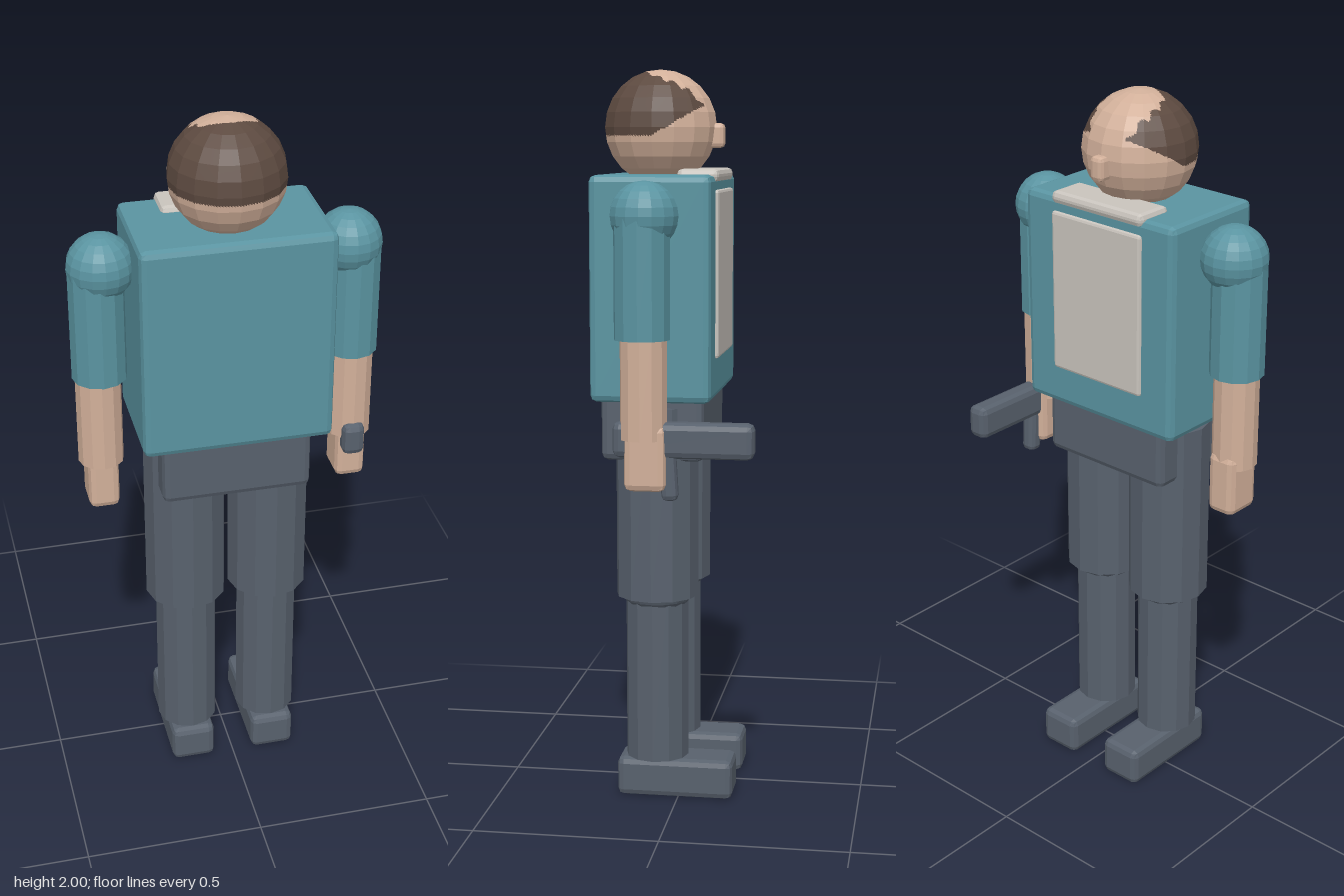
import * as THREE from 'three';
import { RoundedBoxGeometry } from 'three/addons/geometries/RoundedBoxGeometry.js';

const material = (name, color) => {
  const m = new THREE.MeshStandardMaterial({ color });
  m.name = name;
  m.flatShading = true;
  return m;
};

export function createModel() {
  const teal = material('teal shirt', 0x5a94a1);
  const slate = material('slate grey', 0x58616d);
  const skin = material('skin', 0xd2b09a);
  const brown = material('brown hair', 0x5d4a40);
  const pale = material('pale grey', 0xc9c4bd);

  const model = new THREE.Group();
  model.name = 'figure';

  const add = (parent, name, geometry, mat, x = 0, y = 0, z = 0) => {
    const mesh = new THREE.Mesh(geometry, mat);
    mesh.name = name;
    mesh.position.set(x, y, z);
    parent.add(mesh);
    return mesh;
  };

  // Bevelled box given by its extents
  const box = (parent, name, mat, [x0, x1], [y0, y1], [z0, z1], bevel = 0.018) =>
    add(parent, name, new RoundedBoxGeometry(x1 - x0, y1 - y0, z1 - z0, 1, bevel), mat,
      (x0 + x1) / 2, (y0 + y1) / 2, (z0 + z1) / 2);

  const limb = (parent, name, mat, r, x, y0, y1, z) =>
    add(parent, name, new THREE.CylinderGeometry(r, r, y1 - y0, 12), mat, x, (y0 + y1) / 2, z);

  const ball = (parent, name, mat, r, x, y, z) =>
    add(parent, name, new THREE.SphereGeometry(r, 16, 12), mat, x, y, z);

  // Torso, hips and front panel
  box(model, 'torso', teal, [-0.258, 0.258], [1.12, 1.72], [-0.1, 0.225]);
  box(model, 'hips', slate, [-0.205, 0.205], [0.955, 1.16], [-0.075, 0.205]);
  box(model, 'frontPanel', pale, [-0.155, 0.155], [1.23, 1.68], [-0.109, -0.09], 0.008);
  box(model, 'collar', pale, [-0.157, 0.157], [1.7, 1.735], [-0.108, 0.005], 0.014);
  limb(model, 'neck', skin, 0.08, 0, 1.66, 1.78, 0.07);

  // Arms and legs, mirrored
  for (const side of [1, -1]) {
    const label = side > 0 ? 'left' : 'right';
    const arm = new THREE.Group();
    arm.name = label + 'Arm';
    ball(arm, 'shoulder', teal, 0.09, side * 0.33, 1.618, 0.062);
    limb(arm, 'sleeve', teal, 0.074, side * 0.344, 1.3, 1.62, 0.066);
    limb(arm, 'forearm', skin, 0.062, side * 0.348, 1.04, 1.31, 0.062);
    const hand = box(arm, 'hand', skin, [-0.042, 0.042], [0.905, 1.08], [0, 0.11]);
    hand.position.x = side * 0.348;
    model.add(arm);

    const leg = new THREE.Group();
    leg.name = label + 'Leg';
    limb(leg, 'thigh', slate, 0.114, side * 0.119, 0.57, 1.1, 0.064);
    ball(leg, 'knee', slate, 0.105, side * 0.119, 0.61, 0.064);
    limb(leg, 'shin', slate, 0.087, side * 0.119, 0.11, 0.6, 0.065);
    const foot = box(leg, 'foot', slate, [-0.063, 0.063], [0, 0.11], [-0.152, 0.17]);
    foot.position.x = side * 0.12;
    model.add(leg);
  }

  // Hand-held device
  const device = new THREE.Group();
  device.name = 'handDevice';
  box(device, 'barrel', slate, [0.316, 0.378], [0.992, 1.086], [-0.23, 0.142]);
  box(device, 'grip', slate, [0.325, 0.369], [0.878, 1.03], [-0.026, 0.018], 0.015).rotation.x = 0.06;
  model.add(device);

  // Head: each facet is split finely, then sorted into hair and bare skin
  const head = new THREE.Group();
  head.name = 'head';
  head.position.set(0, 1.845, 0.072);
  const isHair = (p) => {
    const z = p.z + 0.072;
    const hairline = z > 0.07 ? -0.022 : -0.022 + (0.07 - z) * 0.62;
    if (p.y < hairline || z < -0.06) return false;
    const wave = 0.006 * Math.sin(p.z * 160);
    const scalp = z > 0.04
      ? 0.085 * Math.sqrt(Math.max(0, 1 - ((z - 0.04) / 0.07) ** 2))
      : 0.085 - Math.max(0, -z) * 0.35;
    return !(p.y > 0 && Math.abs(p.x) < scalp + wave && z < 0.11);
  };
  const hairPoints = [];
  const skinPoints = [];
  const split = (a, b, c, depth) => {
    if (depth === 0) {
      const centre = a.clone().add(b).add(c).divideScalar(3);
      const target = isHair(centre) ? hairPoints : skinPoints;
      for (const p of [a, b, c]) target.push(p.x, p.y, p.z);
      return;
    }
    const ab = a.clone().lerp(b, 0.5);
    const bc = b.clone().lerp(c, 0.5);
    const ca = c.clone().lerp(a, 0.5);
    split(a, ab, ca, depth - 1);
    split(ab, b, bc, depth - 1);
    split(ca, bc, c, depth - 1);
    split(ab, bc, ca, depth - 1);
  };
  const facets = new THREE.SphereGeometry(0.155, 16, 12).toNonIndexed().getAttribute('position');
  const corner = (i) => new THREE.Vector3().fromBufferAttribute(facets, i);
  for (let i = 0; i < facets.count; i += 3) split(corner(i), corner(i + 1), corner(i + 2), 3);

  const surface = (points) => {
    const g = new THREE.BufferGeometry();
    g.setAttribute('position', new THREE.Float32BufferAttribute(points, 3));
    g.computeVertexNormals();
    return g;
  };
  add(head, 'face', surface(skinPoints), skin);
  add(head, 'hair', surface(hairPoints), brown);
  box(head, 'nose', skin, [-0.021, 0.021], [-0.055, 0.011], [-0.177, -0.13], 0.012);
  model.add(head);

  return model;
}
